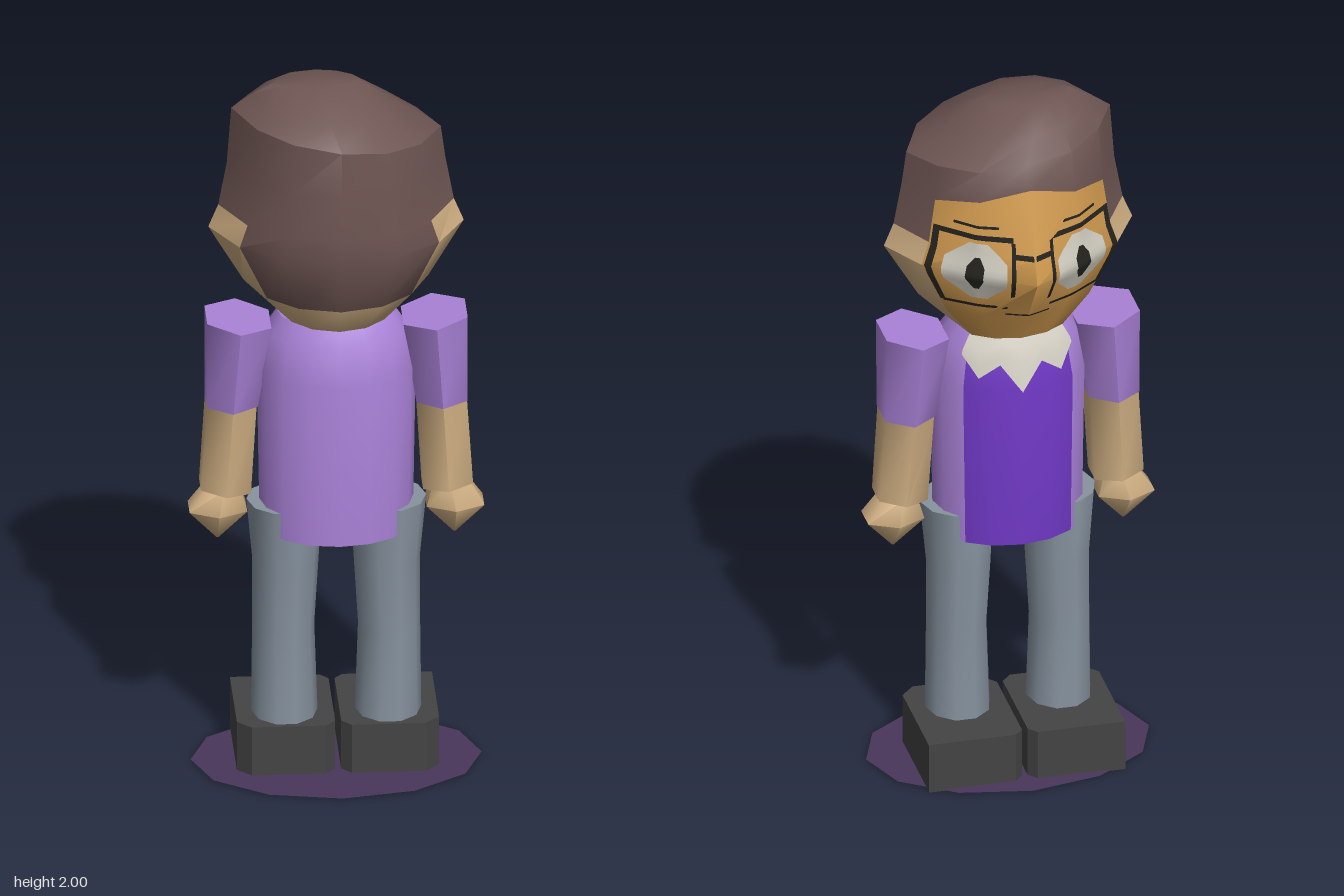
import * as THREE from 'three';
import { toCreasedNormals } from 'three/addons/utils/BufferGeometryUtils.js';

const paint = (name, color, extra = {}) => Object.assign(new THREE.MeshStandardMaterial({ color, ...extra }), { name });

export function createModel() {
  const model = new THREE.Group();
  const both = { side: THREE.DoubleSide };
  const hair = paint('hair brown', 0x6d5552), skinTone = paint('skin', 0xd2b184);
  const faceTone = paint('face tan', 0xd39c50), lilac = paint('lilac', 0xaa82d8);
  const violet = paint('violet', 0x6f38c4), denim = paint('denim', 0x87939f);
  const leather = paint('shoe grey', 0x444444), floor = paint('base purple', 0x49365a, both);
  const white = paint('off white', 0xd6d2c6, both), black = paint('black', 0x26241f, both);

  const add = (name, geo, mat) => {
    const mesh = new THREE.Mesh(geo, mat);
    mesh.name = name;
    model.add(mesh);
    return mesh;
  };

  // Closed skin over rings listed bottom to top; pick(row, column) gives the material
  function loft(name, rings, pick, crease = 0.7) {
    const buckets = new Map();
    const put = (m, ...pts) => {
      if (!buckets.has(m)) buckets.set(m, []);
      pts.forEach(p => buckets.get(m).push(p.x, p.y, p.z));
    };
    const n = rings[0].length, last = rings.length - 1;
    const middle = r => r.reduce((s, p) => s.add(p), new THREE.Vector3()).divideScalar(n);
    const low = middle(rings[0]), high = middle(rings[last]);
    for (let j = 0; j < n; j++) {
      const k = (j + 1) % n;
      for (let i = 0; i < last; i++) {
        const a = rings[i][j], b = rings[i][k], c = rings[i + 1][j], d = rings[i + 1][k];
        put(pick(i, j), a, c, b, b, c, d);
      }
      put(pick(0, -1), low, rings[0][j], rings[0][k]);
      put(pick(last - 1, -1), high, rings[last][k], rings[last][j]);
    }
    const geo = new THREE.BufferGeometry(), pos = [], mats = [];
    for (const [m, list] of buckets) {
      geo.addGroup(pos.length / 3, list.length / 3, mats.length);
      mats.push(m);
      for (const v of list) pos.push(v);
    }
    geo.setAttribute('position', new THREE.Float32BufferAttribute(pos, 3));
    return add(name, toCreasedNormals(geo, crease), mats);
  }

  // Elliptical ring
  const ring = (n, phase, cx, y, cz, rx, rz, slope = 0) => Array.from({ length: n }, (_, j) => {
    const t = phase + j / n * Math.PI * 2, dx = rx * Math.cos(t);
    return new THREE.Vector3(cx + dx, y + slope * dx, cz + rz * Math.sin(t));
  });

  // Thin sheet draped over a surface; at(s, t) with s, t in 0..1
  function sheet(name, mat, at, nx = 6, ny = 6) {
    const pos = [], index = [];
    for (let i = 0; i <= ny; i++) for (let j = 0; j <= nx; j++) pos.push(...at(j / nx, i / ny));
    for (let i = 0; i < ny; i++) for (let j = 0; j < nx; j++) {
      const a = i * (nx + 1) + j, c = a + nx + 1;
      index.push(a, c, a + 1, a + 1, c, c + 1);
    }
    const geo = new THREE.BufferGeometry();
    geo.setAttribute('position', new THREE.Float32BufferAttribute(pos, 3));
    geo.setIndex(index);
    geo.computeVertexNormals();
    return add(name, geo, mat);
  }
  const mix = THREE.MathUtils.lerp;

  // Head: y, half width, z of front, front flank, temple and back, x shift, sideways tilt, front peak
  const headRows = [
    [1.33, 0.16, -0.13, -0.115, -0.08, 0.18, 0, 0, 0],
    [1.42, 0.25, -0.19, -0.15, -0.09, 0.25, 0, 0, 0],
    [1.58, 0.345, -0.305, -0.205, -0.11, 0.285, 0, 0, 0],
    [1.645, 0.318, -0.28, -0.203, -0.105, 0.285, 0, 0, 0],
    [1.77, 0.295, -0.222, -0.2, -0.1, 0.28, 0, 0, 0.06],
    [1.895, 0.283, -0.2, -0.18, -0.09, 0.265, 0, -0.125, 0],
    [1.95, 0.2, -0.155, -0.135, -0.065, 0.2, -0.025, -0.1, 0],
    [2.0, 0.12, -0.06, -0.05, -0.025, 0.06, -0.05, 0, 0],
  ];
  const headRings = headRows.map(([y, w, z0, z1, z2, zb, shift, tilt, peak]) => {
    const b = zb - 0.02;
    const half = [[0, z0, peak], [0.45, z1, peak / 2], [0.79, z2, 0], [1, 0.02, 0],
      [0.78, 0.02 + 0.54 * b, 0], [0.45, 0.02 + 0.87 * b, 0], [0, zb, 0]];
    const point = s => ([u, z, up]) => new THREE.Vector3(s * u * w + shift, y + up + tilt * s * u * w, z);
    return [...half.map(point(1)), ...half.slice(1, 6).reverse().map(point(-1))];
  });
  loft('head', headRings, (i, j) => {
    if (j < 0) return i ? hair : skinTone;
    const side = Math.min(j, 11 - j); // 0-1 face, 2-3 cheek, 4-5 back
    if (i > 3) return hair;
    if (side < 2) return faceTone;
    if (i === 3) return hair;
    return side > 3 && i > 0 ? hair : skinTone;
  }, 0.75);

  // Point on the face: u runs -1..1 between the temples
  const column = (j, y) => {
    let i = 0;
    while (i < 4 && headRings[i + 1][j].y < y) i++;
    const a = headRings[i][j], b = headRings[i + 1][j];
    return a.clone().lerp(b, (y - a.y) / (b.y - a.y));
  };
  const onFace = (u, y, lift) => {
    const v = Math.abs(u), m = 0.57;
    const p = v < m ? column(0, y).lerp(column(1, y), v / m) : column(1, y).lerp(column(2, y), (v - m) / (1 - m));
    return [Math.sign(u) * (p.x + lift * 0.5), p.y, p.z - lift];
  };
  const patch = (name, mat, u0, u1, y0, y1, lift) =>
    sheet(name, mat, (s, t) => onFace(mix(u0, u1, s), mix(y0, y1, t), lift), 8, 8);

  for (const s of [-1, 1]) {
    // Hexagonal eye and pupil
    for (const [name, mat, w, h, lift] of [['eye', white, 0.29, 0.09, 0.006], ['pupil', black, 0.08, 0.05, 0.009]])
      sheet(name, mat, (a, t) => {
        const v = 2 * t - 1, wide = w * Math.min(1, 1.5 - Math.abs(v) * 1.2);
        return onFace(s * 0.55 + (2 * a - 1) * wide, 1.59 + v * h, lift);
      }, 8, 10);
    // Glasses frame
    const bars = [[0.92, 0.98, 1.47, 1.7], [0.2, 0.98, 1.69, 1.705], [0.25, 0.95, 1.465, 1.475],
      [0.18, 0.22, 1.5, 1.69], [0.001, 0.2, 1.645, 1.66], [0.35, 0.8, 1.725, 1.733]];
    for (const [u0, u1, y0, y1] of bars)
      patch('glassesFrame', black, s < 0 ? -u1 : u0, s < 0 ? -u0 : u1, y0, y1, 0.006);
  }
  patch('mouth', black, -0.28, 0.28, 1.44, 1.446, 0.006);

  // Shirt: lilac with a violet panel on the -z side
  const torso = [[0.7, 0.207, 0.028, 0.168], [1.17, 0.215, 0.03, 0.17], [1.28, 0.195, 0.03, 0.15], [1.33, 0.16, 0.025, 0.125]];
  loft('shirt', torso.map(([y, rx, cz, rz]) => ring(16, 0, 0, y, cz, rx, rz)),
    (i, j) => (j >= 10 && j < 14 && i < 3 ? violet : lilac));

  // Jagged collar
  const hem = [1.27, 1.21, 1.25, 1.17, 1.25, 1.21, 1.27];
  sheet('collar', white, (s, t) => {
    const y = mix(hem[Math.round(s * 6)], 1.325, t), i = y < 1.28 ? 1 : 2;
    const k = (y - torso[i][0]) / (torso[i + 1][0] - torso[i][0]);
    const [, rx, cz, rz] = torso[i].map((v, q) => mix(v, torso[i + 1][q], k));
    const a = (s * 2 - 1) * 0.85;
    return [(rx + 0.006) * Math.sin(a), y, cz - (rz + 0.006) * Math.cos(a)];
  }, 6, 4);

  for (const s of [-1, 1]) {
    // Arm, hand, leg and shoe
    const hex = (x, y, z, rx, rz, slope) => ring(6, Math.PI / 6, s * x, y, z, rx, rz, s * (slope || 0));
    loft('sleeve', [hex(0.283, 1.065, 0.02, 0.08, 0.1), hex(0.265, 1.31, 0.022, 0.1, 0.122, 0.1)], () => lilac, 1.1);
    loft('forearm', [hex(0.3, 0.81, 0.022, 0.078, 0.08, 0.1), hex(0.284, 1.068, 0.02, 0.077, 0.097)], () => skinTone, 1.1);
    loft('hand', [hex(0.32, 0.66, 0.02, 0.004, 0.004), hex(0.32, 0.75, 0.02, 0.09, 0.08), hex(0.305, 0.82, 0.02, 0.05, 0.055)],
      () => skinTone, 1.1);

    const leg = [[0.14, 0.14, 0.09, 0.025, 0.105], [0.4, 0.143, 0.084, 0.025, 0.1], [0.6, 0.137, 0.09, 0.025, 0.11], [0.775, 0.14, 0.103, 0.03, 0.112]];
    loft('trouserLeg', leg.map(([y, x, rx, z, rz]) => ring(10, 0, s * x, y, z, rx, rz)), () => denim, 0.9);

    const sole = new THREE.Shape([[0.008, -0.11], [0.035, -0.14], [0.235, -0.14], [0.273, -0.1], [0.273, 0.19], [0.03, 0.19], [0.008, 0.165]]
      .map(([x, y]) => new THREE.Vector2(s * x, y)));
    add('shoe', new THREE.ExtrudeGeometry(sole, { depth: 0.146, bevelEnabled: false }).rotateX(-Math.PI / 2), leather);
  }

  // Oval base under the shoes
  const base = add('base', new THREE.CircleGeometry(1, 12).rotateX(-Math.PI / 2), floor);
  base.scale.set(0.393, 1, 0.28);
  base.position.set(0, 0.004, 0.025);
  return model;
}
